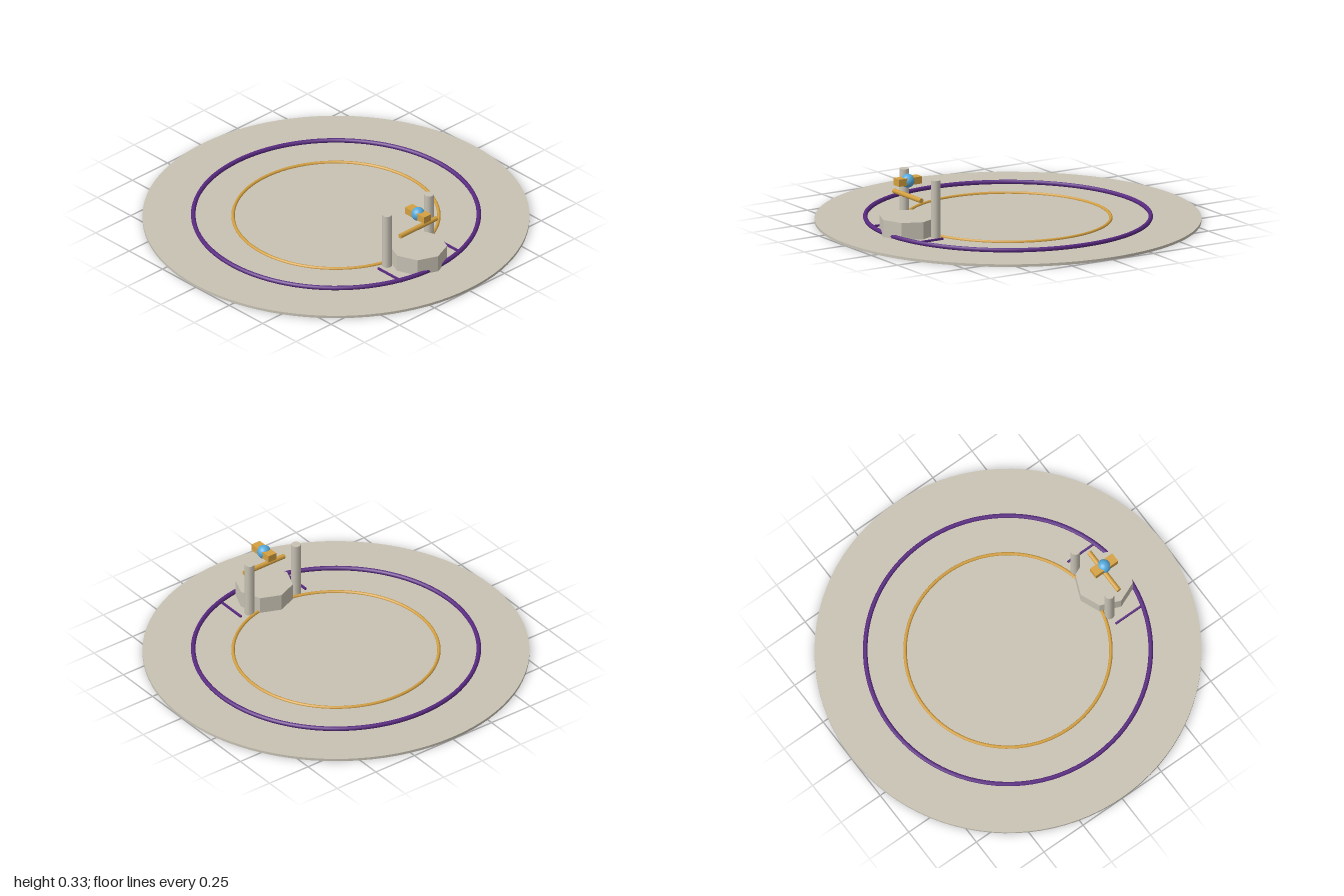
import * as THREE from 'three';

const mat = (color, flatShading = false) => new THREE.MeshStandardMaterial({ color, flatShading });

export function createModel() {
  const model = new THREE.Group();
  model.name = 'ringArena';
  const stone = mat(0xc8c2b4);
  const stoneFlat = mat(0xc8c2b4, true);
  const gold = mat(0xd4a040);
  const purple = mat(0x5a2a82);
  const blue = mat(0x55aadd);

  const add = (name, geometry, material, x = 0, y = 0, z = 0, parent = model) => {
    const mesh = new THREE.Mesh(geometry, material);
    mesh.name = name;
    mesh.position.set(x, y, z);
    parent.add(mesh);
    return mesh;
  };

  // Ground disc and the two inlaid rings
  add('floorDisc', new THREE.CylinderGeometry(1, 1, 0.014, 96), stone, 0, 0.007, 0);
  const ring = (name, radius, tube, y, material) =>
    add(name, new THREE.TorusGeometry(radius, tube, 8, 96).rotateX(Math.PI / 2), material, 0, y, 0);
  ring('outerRing', 0.738, 0.012, 0.024, purple);
  ring('innerRing', 0.532, 0.009, 0.016, gold);

  // Shrine standing on the rings at the +x side
  const shrine = new THREE.Group();
  shrine.name = 'shrine';
  shrine.position.x = 0.615;
  model.add(shrine);

  // Eight-sided plinth with corners on the axes
  add('plinth', new THREE.CylinderGeometry(0.15, 0.15, 0.091, 8), stoneFlat, 0, 0.0595, 0, shrine);

  // Posts and floor strips, mirrored front to back
  for (const side of [-1, 1]) {
    add('post', new THREE.CylinderGeometry(0.026, 0.026, 0.306, 10), stone, -0.075, 0.167, side * 0.15, shrine);
    add('floorStrip', new THREE.BoxGeometry(0.18, 0.01, 0.01), purple, 0.01, 0.019, side * 0.21, shrine);
  }

  // Crossbar between the posts
  add('crossbar', new THREE.CylinderGeometry(0.013, 0.013, 0.26, 10).rotateX(Math.PI / 2), gold, 0, 0.214, 0, shrine);

  // Floating orb with a block through it
  add('orb', new THREE.SphereGeometry(0.036, 20, 14), blue, 0, 0.295, 0, shrine);
  add('orbBlock', new THREE.BoxGeometry(0.142, 0.038, 0.052), gold, 0, 0.295, 0, shrine);

  return model;
}
